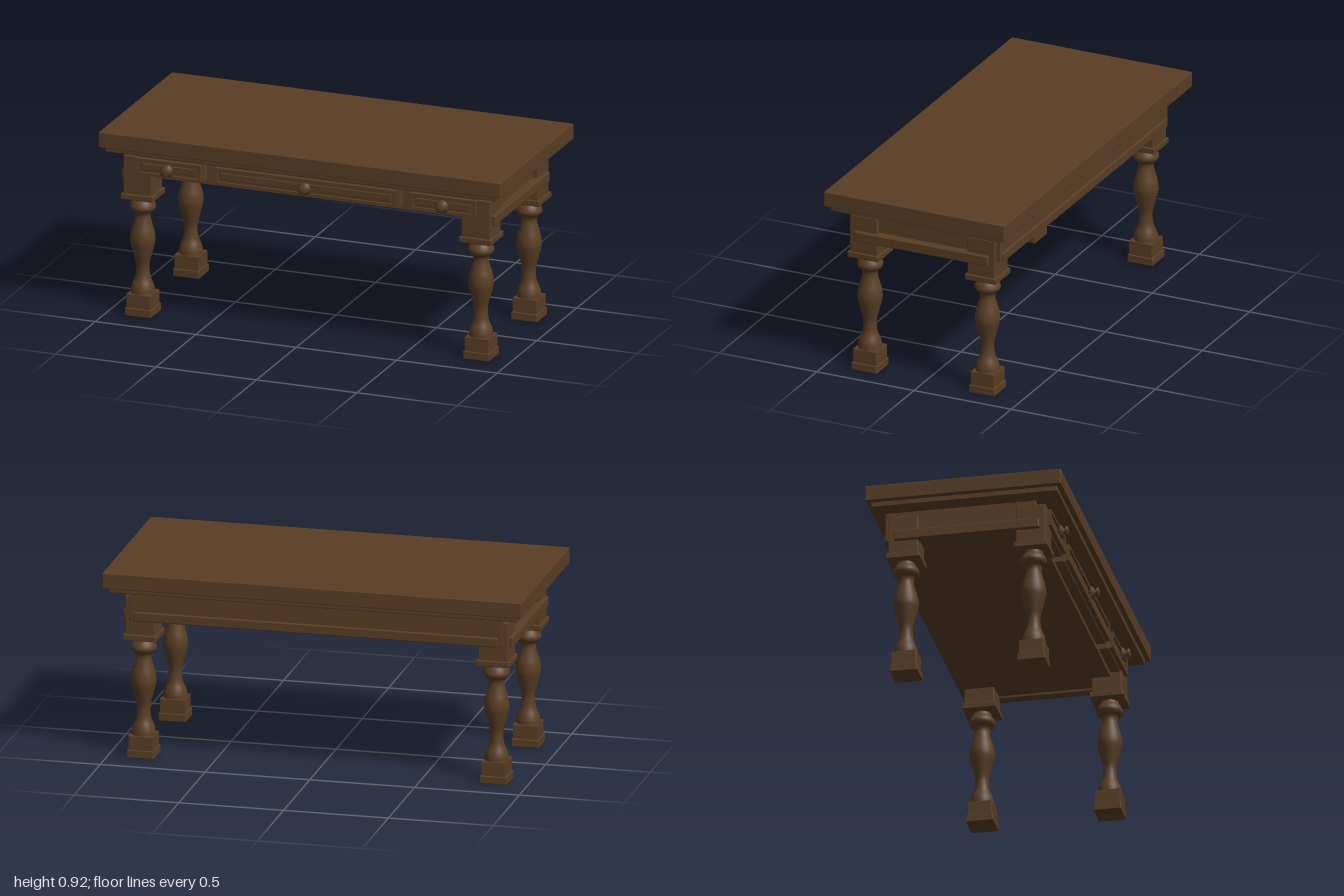
import * as THREE from 'three';
import { RoundedBoxGeometry } from 'three/addons/geometries/RoundedBoxGeometry.js';

export function createModel() {
  const wood = new THREE.MeshStandardMaterial({ color: 0x5a3e25 });
  wood.name = 'dark wood';
  const table = new THREE.Group();
  table.name = 'table';

  const add = (parent, name, geometry, x = 0, y = 0, z = 0) => {
    const mesh = new THREE.Mesh(geometry, wood);
    mesh.name = name;
    mesh.position.set(x, y, z);
    parent.add(mesh);
    return mesh;
  };
  // Box given by its limits on each axis, with softened edges
  const block = (parent, name, [x0, x1], [y0, y1], [z0, z1], r = 0.004) =>
    add(parent, name, new RoundedBoxGeometry(x1 - x0, y1 - y0, z1 - z0, 2, r),
      (x0 + x1) / 2, (y0 + y1) / 2, (z0 + z1) / 2);
  const sym = (w) => [-w / 2, w / 2];

  // Top slab, moulding and apron
  block(table, 'tableTop', [-1, 1], [0.84, 0.915], [-0.463, 0.463]);
  block(table, 'topMoulding', [-0.975, 0.975], [0.815, 0.842], [-0.44, 0.44]);
  block(table, 'apron', [-0.89, 0.89], [0.675, 0.818], [-0.39, 0.32], 0.002);

  // Rails on the back and both ends
  block(table, 'backRail', [-0.87, 0.87], [0.672, 0.718], [-0.4, -0.37], 0.006);
  for (const s of [-1, 1]) {
    const rail = block(table, 'endRail', [0.88, 0.93], [0.661, 0.71], [-0.342, 0.345], 0.006);
    rail.position.x *= s;
  }

  // Turned legs with square plinths, collars and corner blocks
  const turning = new THREE.SplineCurve([
    [0.056, 0.122], [0.05, 0.145], [0.036, 0.18], [0.031, 0.22], [0.033, 0.25],
    [0.046, 0.3], [0.056, 0.34], [0.059, 0.365], [0.055, 0.4], [0.045, 0.435],
    [0.036, 0.475], [0.041, 0.497], [0.055, 0.508], [0.062, 0.525],
    [0.055, 0.545], [0.045, 0.56], [0.042, 0.575],
  ].map(([r, y]) => new THREE.Vector2(r, y)));
  const legProfile = [new THREE.Vector2(0.057, 0.1), ...turning.getPoints(60)];
  for (const [sx, sz] of [[-1, 1], [1, 1], [-1, -1], [1, -1]]) {
    const leg = new THREE.Group();
    leg.name = (sz > 0 ? 'front' : 'back') + (sx > 0 ? 'Left' : 'Right') + 'Leg';
    leg.position.set(sx * 0.842, 0, sz * 0.302);
    table.add(leg);
    block(leg, 'foot', sym(0.13), [0, 0.038], sym(0.13));
    block(leg, 'plinth', sym(0.118), [0.034, 0.105], sym(0.118), 0.002);
    add(leg, 'turnedShaft', new THREE.LatheGeometry(legProfile, 32));
    block(leg, 'collar', sym(0.16), [0.572, 0.6], sym(0.16));
    block(leg, 'cornerBlock', sym(0.14), [0.596, 0.785], sym(0.14));
  }

  // Rectangular picture-frame moulding
  const rect = (target, w, h) => {
    target.moveTo(-w / 2, -h / 2);
    target.lineTo(w / 2, -h / 2);
    target.lineTo(w / 2, h / 2);
    target.lineTo(-w / 2, h / 2);
    target.closePath();
    return target;
  };
  const frame = (w, h, t, depth) => {
    const shape = rect(new THREE.Shape(), w, h);
    shape.holes.push(rect(new THREE.Path(), w - 2 * t, h - 2 * t));
    return new THREE.ExtrudeGeometry(shape, { depth, bevelEnabled: false });
  };

  // Knob: flared rose, thin neck and rounded head, turned about the z axis
  const knobProfile = [
    [0.006, 0], [0.006, 0.016], [0.033, 0.016], [0.03, 0.021], [0.018, 0.03], [0.009, 0.036],
    [0.012, 0.038], [0.022, 0.042], [0.023, 0.048], [0.018, 0.053], [0, 0.055],
  ].map(([r, y]) => new THREE.Vector2(r, y));
  const knobGeometry = new THREE.LatheGeometry(knobProfile, 24).rotateX(Math.PI / 2);

  // Three drawers: backing, raised frame, centre panel and knob
  for (const [x, w] of [[-0.685, 0.34], [0, 0.92], [0.685, 0.34]]) {
    const drawer = new THREE.Group();
    drawer.name = 'drawer';
    drawer.position.x = x;
    table.add(drawer);
    block(drawer, 'drawerBody', sym(w), [0.695, 0.795], [0.31, 0.365], 0.002);
    block(drawer, 'drawerPanel', sym(w - 0.02), [0.706, 0.782], [0.36, 0.375], 0.002);
    add(drawer, 'drawerFrame', frame(w - 0.012, 0.082, 0.014, 0.024), 0, 0.744, 0.363);
    block(drawer, 'raisedPanel', sym(w - 0.07), [0.727, 0.761], [0.37, 0.381], 0.003);
    add(drawer, 'knob', knobGeometry, 0, 0.743, 0.379);
  }
  return table;
}
